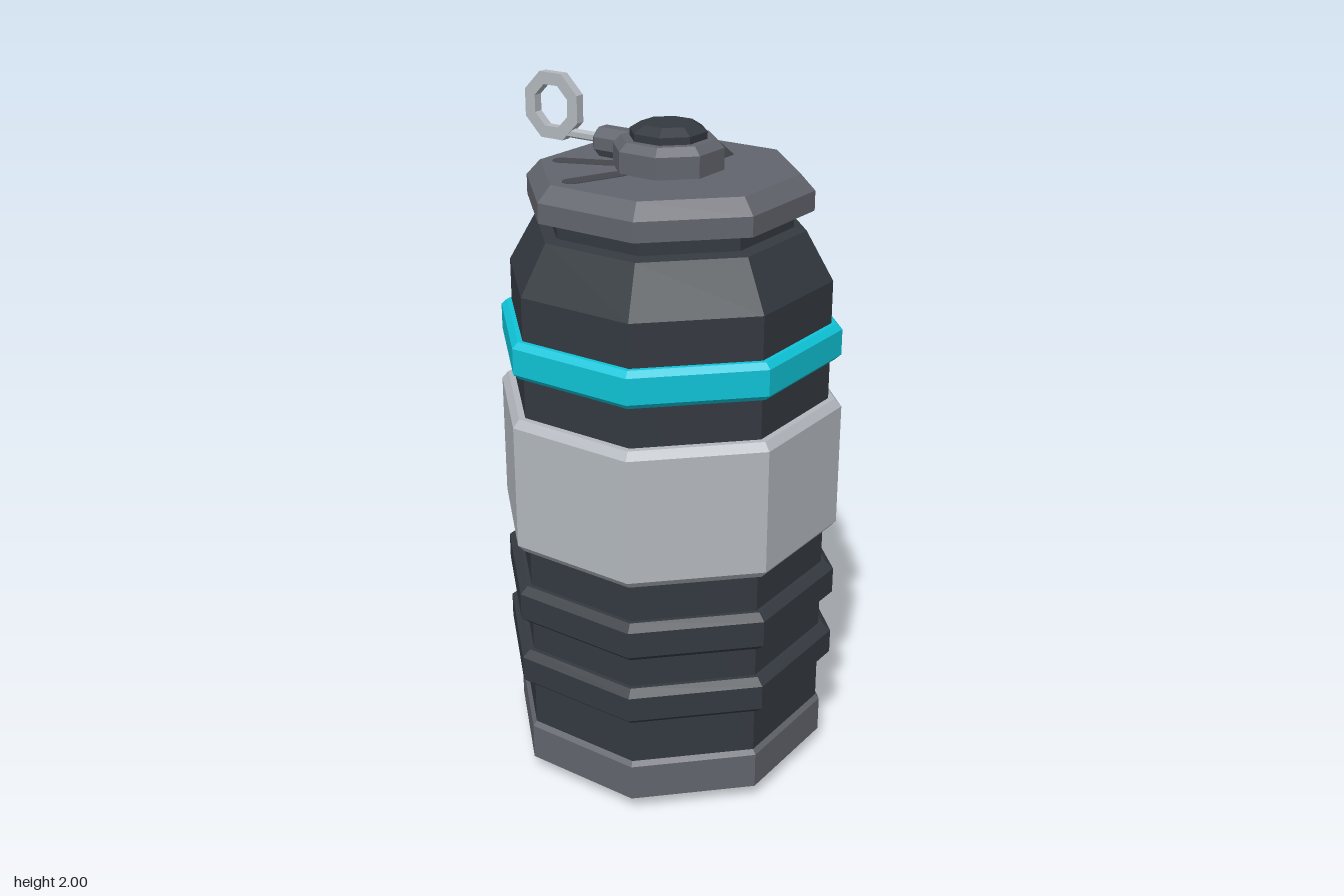
import * as THREE from 'three';

const CX = -0.007, CZ = 0.0125; // axis of the octagonal body
const K = 1 / Math.cos(Math.PI / 8); // flat distance -> corner radius

function mat(name, color) {
  return new THREE.MeshStandardMaterial({ name, color, flatShading: true });
}

export function createModel() {
  const dark = mat('darkShell', 0x343a41);
  const grey = mat('greyMetal', 0x62656d);
  const leverGrey = mat('leverGrey', 0x54575b);
  const slotGrey = mat('slotGrey', 0x46484d);
  const pale = mat('paleMetal', 0xb4b9bf);
  const cyan = mat('cyanGlow', 0x0fc4d8);

  const model = new THREE.Group();
  model.name = 'canister';

  function add(name, geometry, material, x = 0, y = 0, z = 0) {
    const g = geometry.index ? geometry.toNonIndexed() : geometry;
    g.computeVertexNormals();
    const mesh = new THREE.Mesh(g, material);
    mesh.name = name;
    mesh.position.set(x, y, z);
    model.add(mesh);
    return mesh;
  }

  // Eight-sided turned part; profile is [flat distance, y] from bottom to top
  function turned(name, material, profile) {
    const pts = profile.map(([r, y]) => new THREE.Vector2(r * K, y));
    return add(name, new THREE.LatheGeometry(pts, 8, Math.PI / 8), material, CX, 0, CZ);
  }

  // Chamfered band around the body
  function band(name, material, y0, y1, r, chamfer, inset) {
    turned(name, material, [[0.415, y0], [r - inset, y0], [r, y0 + chamfer],
      [r, y1 - chamfer], [r - inset, y1], [0.415, y1]]);
  }

  // Body
  turned('base', grey, [[0, 0], [0.355, 0], [0.438, 0.047], [0.438, 0.155], [0.426, 0.17], [0.4, 0.17]]);
  turned('shell', dark, [[0.4, 0.16], [0.427, 0.16], [0.427, 1.496], [0.355, 1.633],
    [0.322, 1.64], [0.322, 1.7]]);
  band('lowerRib', dark, 0.307, 0.42, 0.461, 0.02, 0.022);
  band('upperRib', dark, 0.513, 0.63, 0.461, 0.02, 0.022);
  band('paleBand', pale, 0.745, 1.15, 0.4625, 0.022, 0.018);
  band('cyanBand', cyan, 1.268, 1.374, 0.456, 0.016, 0.016);

  // Cap, hub and button
  turned('cap', grey, [[0, 1.69], [0.373, 1.69], [0.373, 1.745], [0.336, 1.788], [0, 1.788]]);
  turned('hub', grey, [[0.143, 1.78], [0.143, 1.848], [0.122, 1.87], [0, 1.87]]);
  turned('button', dark, [[0.1, 1.865], [0.1, 1.89], [0.07, 1.91], [0, 1.91]]);

  // Rounded slots on the rear half of the cap
  const slot = new THREE.Shape();
  slot.absarc(0, 0.3, 0.026, 0, Math.PI, false);
  slot.absarc(0, 0.16, 0.026, Math.PI, 2 * Math.PI, false);
  slot.closePath();
  for (const a of [-3, -1, 1, 3]) {
    const g = new THREE.ExtrudeGeometry(slot, { depth: 0.004, bevelEnabled: false, curveSegments: 5 });
    g.rotateX(-Math.PI / 2);
    g.rotateY(a * Math.PI / 8);
    add('capSlot', g, slotGrey, CX, 1.786, CZ);
  }

  // Profile in x and y, extruded across z
  function sideProfile(points, width) {
    const shape = new THREE.Shape(points.map(([x, y]) => new THREE.Vector2(x, y)));
    const g = new THREE.ExtrudeGeometry(shape, { depth: width, bevelEnabled: false });
    return g.translate(0, 0, -width / 2);
  }

  // Lever down the left side, narrowed at its tip
  const lever = sideProfile([[0.3, 1.7], [0.3, 1.64], [0.365, 1.62], [0.416, 1.49], [0.416, 0.66],
    [0.422, 0.61], [0.443, 0.61], [0.464, 0.66], [0.464, 1.5], [0.41, 1.67], [0.335, 1.7]], 0.15);
  const p = lever.attributes.position;
  for (let i = 0; i < p.count; i++) {
    if (p.getY(i) < 0.63) p.setZ(i, p.getZ(i) * 0.64);
  }
  add('lever', lever, leverGrey, 0, 0, CZ);
  add('leverBracket', sideProfile([[0.1, 1.78], [0.212, 1.78], [0.212, 1.787], [0.137, 1.838], [0.1, 1.838]], 0.145),
    leverGrey, 0, 0, CZ);

  // Pin at the back: socket, rod and ring
  const socket = new THREE.CylinderGeometry(0.041 * K, 0.041 * K, 0.11, 8).rotateY(Math.PI / 8).rotateX(Math.PI / 2);
  add('pinSocket', socket, grey, CX, 1.83, -0.155);
  const socketTip = new THREE.CylinderGeometry(0.041 * K, 0.03 * K, 0.012, 8).rotateY(Math.PI / 8).rotateX(Math.PI / 2);
  add('pinSocketTip', socketTip, grey, CX, 1.83, -0.216);
  const rod = new THREE.CylinderGeometry(0.014, 0.014, 0.13, 6).rotateX(Math.PI / 2);
  add('pinRod', rod, pale, CX, 1.836, -0.27);

  const octagon = (r) => Array.from({ length: 8 }, (_, i) => {
    const a = (i + 0.5) * Math.PI / 4;
    return new THREE.Vector2(Math.cos(a) * r * K, Math.sin(a) * r * K);
  });
  const ring = new THREE.Shape(octagon(0.093));
  ring.holes.push(new THREE.Path(octagon(0.058).reverse()));
  const ringGeo = new THREE.ExtrudeGeometry(ring, { depth: 0.028, bevelEnabled: false });
  ringGeo.translate(0, 0, -0.014).rotateY(Math.PI / 2);
  add('pullRing', ringGeo, pale, CX, 1.907, -0.382);

  return model;
}
